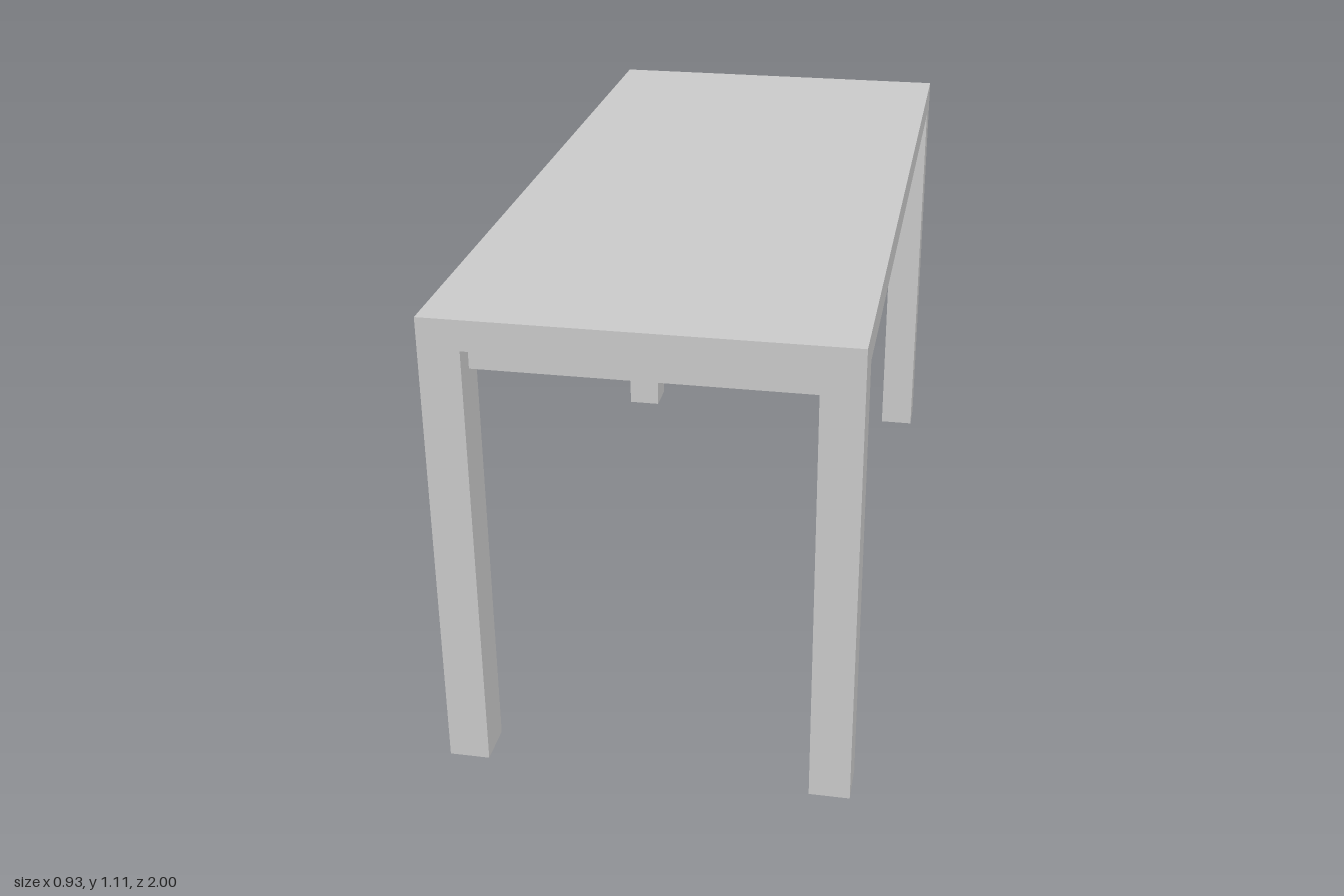
import * as THREE from 'three';

const W = 0.934, L = 2, H = 1.107;      // overall width, length, height
const TOP = 0.07;                       // tabletop thickness
const LEG_X = 0.093, LEG_Z = 0.1;       // leg section

export function createModel() {
  const table = new THREE.Group();
  table.name = 'table';
  const material = new THREE.MeshStandardMaterial({ color: 0xcccccc, flatShading: true });

  const addBox = (name, w, h, d, x, y, z) => {
    const mesh = new THREE.Mesh(new THREE.BoxGeometry(w, h, d), material);
    mesh.name = name;
    mesh.position.set(x, y, z);
    table.add(mesh);
  };

  // Flat top, flush with the outer faces of the legs
  addBox('tabletop', W, TOP, L, 0, H - TOP / 2, 0);

  // Lower panel under the top, set back to the middle of the legs
  const panelH = 0.062;
  addBox('underPanel', W - LEG_X, panelH, L - LEG_Z, 0, H - TOP - panelH / 2, 0);

  // Four square legs at the corners
  const legH = H - TOP;
  for (const [sx, side] of [[1, 'Left'], [-1, 'Right']]) {
    for (const [sz, end] of [[1, 'front'], [-1, 'back']]) {
      addBox(`${end}${side}Leg`, LEG_X, legH, LEG_Z,
        sx * (W - LEG_X) / 2, legH / 2, sz * (L - LEG_Z) / 2);
    }
  }

  return table;
}
